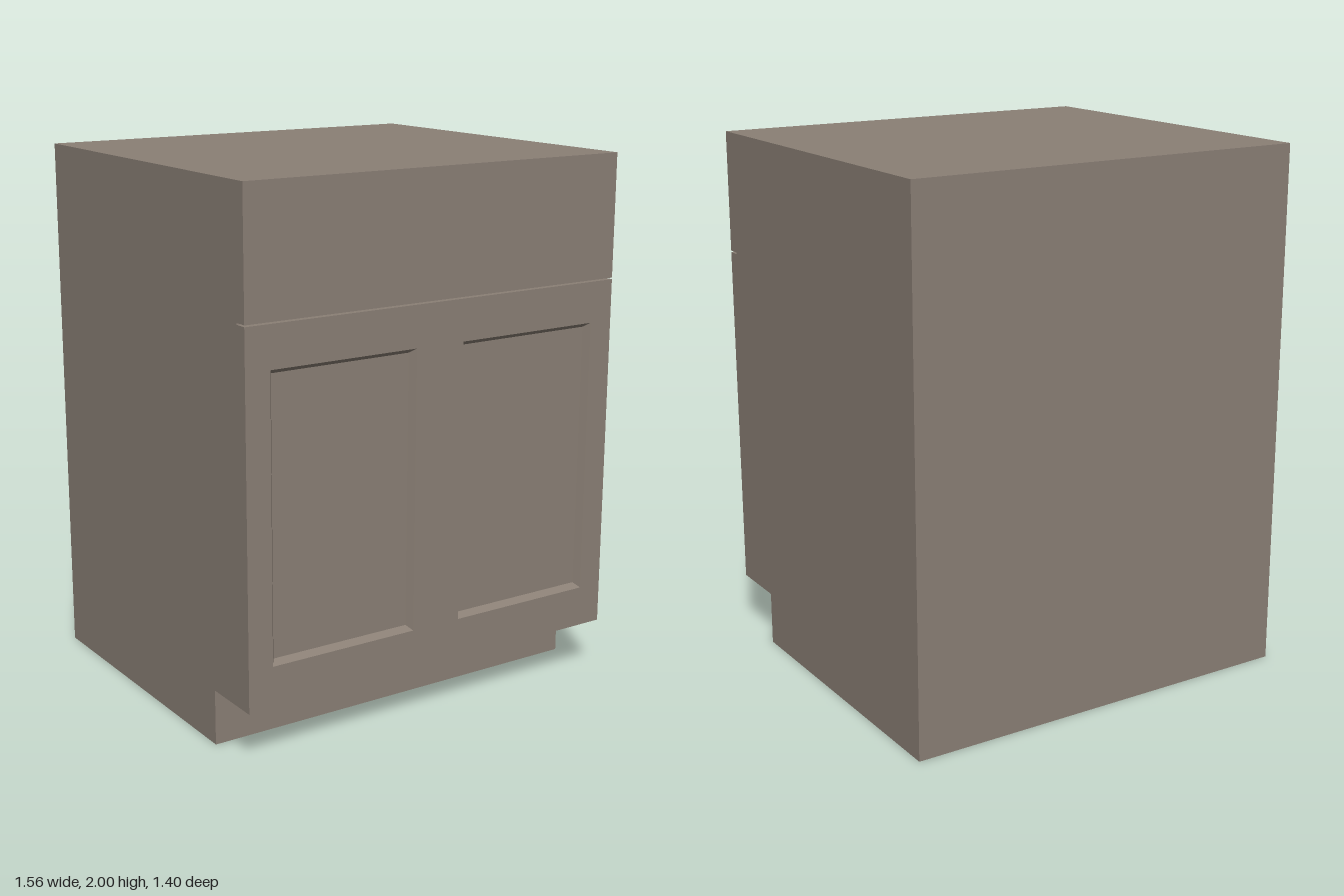
import * as THREE from 'three';

const W = 1.56, FRONT = 0.7, BODY = 0.65, BACK = -0.7;
const KICK_Y = 0.205, KICK_Z = 0.465, SEAM = 1.541, GAP = 0.006;

const material = new THREE.MeshStandardMaterial({ color: 0x8a7f75, flatShading: true });

function add(parent, name, geometry) {
  const mesh = new THREE.Mesh(geometry, material);
  mesh.name = name;
  parent.add(mesh);
  return mesh;
}

// corners of a rectangle, counter-clockwise seen from the front
function corners(x0, x1, y0, y1, inset, z) {
  return [
    [x0 + inset, y0 + inset, z], [x1 - inset, y0 + inset, z],
    [x1 - inset, y1 - inset, z], [x0 + inset, y1 - inset, z],
  ];
}

// sloped border leading down to a flat sunken panel
function recessGeometry(x0, x1, y0, y1, inset, depth) {
  const outer = corners(x0, x1, y0, y1, 0, FRONT);
  const inner = corners(x0, x1, y0, y1, inset, FRONT - depth);
  const points = [];
  const quad = (a, b, c, d) => points.push(...a, ...b, ...c, ...a, ...c, ...d);
  for (let i = 0; i < 4; i++) {
    const j = (i + 1) % 4;
    quad(outer[i], outer[j], inner[j], inner[i]);
  }
  quad(...inner);
  const geometry = new THREE.BufferGeometry();
  geometry.setAttribute('position', new THREE.Float32BufferAttribute(points, 3));
  geometry.computeVertexNormals();
  return geometry;
}

export function createModel() {
  const group = new THREE.Group();
  group.name = 'baseCabinet';

  // cabinet body with toe kick: side profile drawn as (z, y), swept across the width
  const profile = new THREE.Shape([
    [BACK, 0], [KICK_Z, 0], [KICK_Z, KICK_Y], [BODY, KICK_Y], [BODY, 2], [BACK, 2],
  ].map(([z, y]) => new THREE.Vector2(-z, y)));
  const body = new THREE.ExtrudeGeometry(profile, { depth: W, bevelEnabled: false });
  body.translate(0, 0, -W / 2).rotateY(Math.PI / 2);
  add(group, 'cabinetBody', body);

  // plain drawer front above the seam
  const drawerBottom = SEAM + GAP / 2;
  const drawer = new THREE.BoxGeometry(W, 2 - drawerBottom, FRONT - BODY);
  drawer.translate(0, (2 + drawerBottom) / 2, (FRONT + BODY) / 2);
  add(group, 'drawerFront', drawer);

  // door front with two openings
  const doorTop = SEAM - GAP / 2;
  const front = new THREE.Shape(
    corners(-W / 2, W / 2, KICK_Y, doorTop, 0, 0).map(([x, y]) => new THREE.Vector2(x, y)));
  const openings = [['rightDoorPanel', -0.685, -0.1], ['leftDoorPanel', 0.1, 0.685]];
  for (const [name, x0, x1] of openings) {
    front.holes.push(new THREE.Path(
      corners(x0, x1, 0.357, 1.386, 0, 0).reverse().map(([x, y]) => new THREE.Vector2(x, y))));
    add(group, name, recessGeometry(x0, x1, 0.357, 1.386, 0.017, 0.025));
  }
  const doors = new THREE.ExtrudeGeometry(front, { depth: FRONT - BODY, bevelEnabled: false });
  doors.translate(0, 0, BODY);
  add(group, 'doorFront', doors);

  return group;
}
